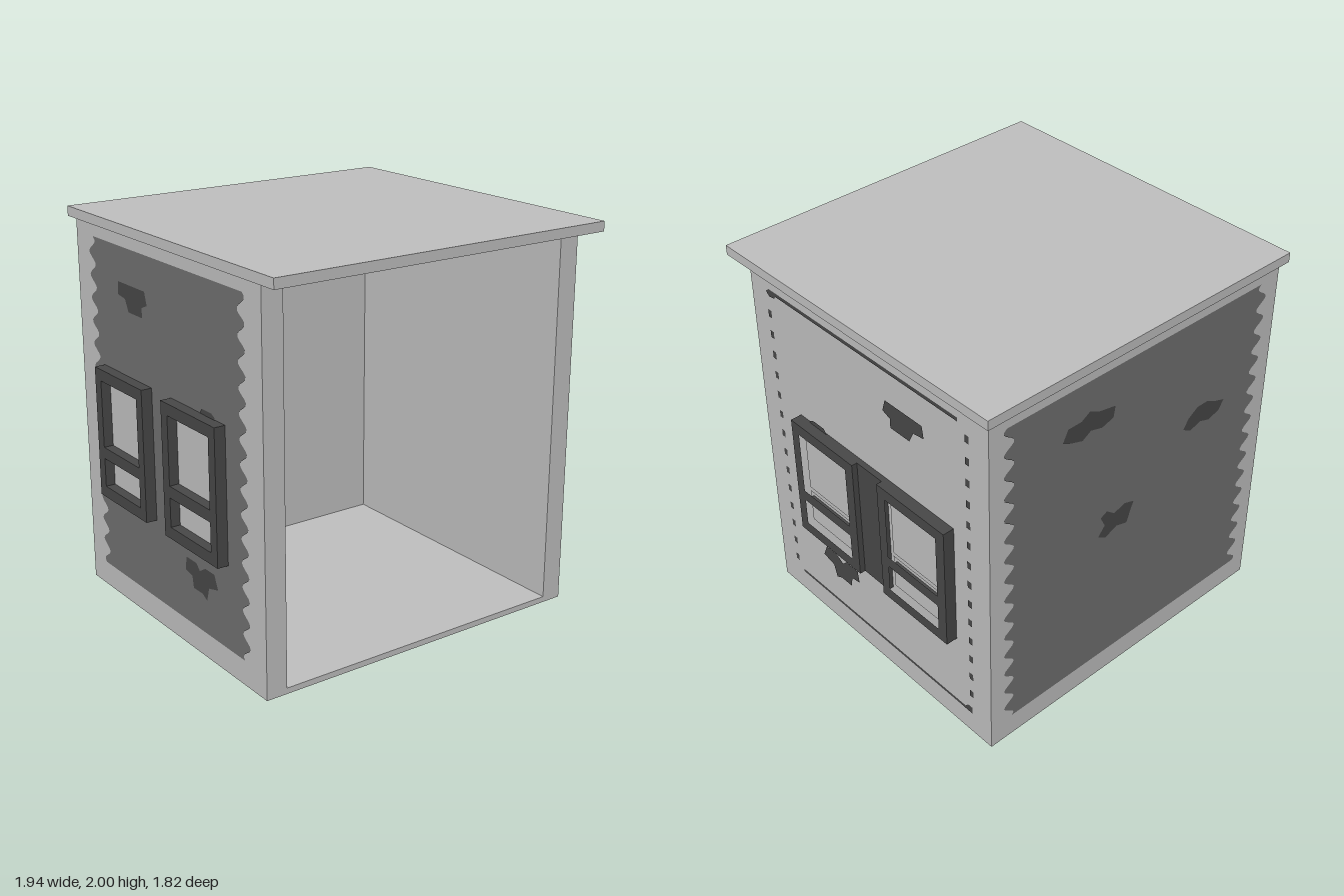
import * as THREE from 'three';

const mat = (name, color) => {
  const m = new THREE.MeshStandardMaterial({ color });
  m.name = name;
  return m;
};

export function createModel() {
  const wallGrey = mat('light wall grey', 0xc0c0c0);
  const panelGrey = mat('mid panel grey', 0x707070);
  const trimGrey = mat('dark trim grey', 0x484848);
  const model = new THREE.Group();
  model.name = 'boxHouse';

  // Box given by its minimum and maximum corners
  function box(parent, name, m, [x0, y0, z0], [x1, y1, z1]) {
    const g = new THREE.BoxGeometry(x1 - x0, y1 - y0, z1 - z0);
    g.translate((x0 + x1) / 2, (y0 + y1) / 2, (z0 + z1) / 2);
    const mesh = new THREE.Mesh(g, m);
    mesh.name = name;
    parent.add(mesh);
  }

  // Shell: open front, floor, three walls, overhanging roof
  box(model, 'floor', wallGrey, [-0.8, 0, -0.76], [0.8, 0.03, 0.77]);
  box(model, 'leftWall', wallGrey, [0.8, 0, -0.88], [0.91, 1.95, 0.77]);
  box(model, 'rightWall', wallGrey, [-0.91, 0, -0.88], [-0.8, 1.95, 0.77]);
  box(model, 'backWall', wallGrey, [-0.8, 0, -0.88], [0.8, 1.95, -0.76]);
  box(model, 'roof', wallGrey, [-0.94, 1.95, -0.91], [0.94, 2, 0.91]);
  for (const x of [-0.59, 0.41])
    box(model, 'ceilingBeam', wallGrey, [x, 1.915, -0.76], [x + 0.17, 1.95, 0.77]);

  // Flat plate from [u, y] points; s flips u into the local frame of the wall
  const toShape = (pts, s) => new THREE.Shape(pts.map(([u, y]) => new THREE.Vector2(u * s, y)));
  const rect = (u0, u1, y0, y1) => [[u0, y0], [u1, y0], [u1, y1], [u0, y1]];
  function plate(parent, name, m, pts, s, z) {
    const mesh = new THREE.Mesh(new THREE.ShapeGeometry(toShape(pts, s)), m);
    mesh.position.z = z;
    mesh.name = name;
    parent.add(mesh);
  }

  // Panel outline with wavy upright edges
  function wavyPanel(u0, u1, amp) {
    const pts = [], n = 118, y0 = 0.13, y1 = 1.88;
    const k = (Math.PI * 2) / 0.118;
    for (let i = 0; i <= n; i++) {
      const y = y0 + ((y1 - y0) * i) / n;
      pts.push([u1 + amp * Math.cos(k * (y - 1.74)), y]);
    }
    for (let i = n; i >= 0; i--) {
      const y = y0 + ((y1 - y0) * i) / n;
      pts.push([u0 - amp * Math.cos(k * (y - 1.8)), y]);
    }
    return pts;
  }

  // Worn patches on the side walls, as [z, y]
  const patches = [
    [[-0.21, 1.705], [-0.46, 1.705], [-0.47, 1.64], [-0.4, 1.63], [-0.37, 1.57],
      [-0.24, 1.57], [-0.24, 1.62], [-0.19, 1.64]],
    [[0.35, 0.47], [0.27, 0.47], [0.22, 0.44], [0.19, 0.47], [0.1, 0.47], [0.09, 0.4],
      [0.15, 0.39], [0.16, 0.33], [0.24, 0.33], [0.28, 0.31], [0.3, 0.38], [0.38, 0.4]],
    [[0.39, 1.2], [0.39, 1.25], [0.36, 1.265], [0.28, 1.265], [0.26, 1.24], [0.26, 1.2]],
  ];

  // Side walls: windows and patches, each built in a frame facing outwards
  for (const side of [1, -1]) {
    const wall = new THREE.Group();
    wall.name = side > 0 ? 'leftWallDetails' : 'rightWallDetails';
    wall.rotation.y = (side * Math.PI) / 2;
    const s = -side;
    model.add(wall);

    for (const [a, b] of [[0, 0.47], [-0.645, -0.18]]) {
      const shape = toShape(rect(a, b, 0.56, 1.24), s);
      for (const [y0, y1] of [[0.62, 0.77], [0.83, 1.18]]) {
        shape.holes.push(toShape(rect(a + 0.057, b - 0.055, y0, y1), s));
        plate(wall, 'windowPane', wallGrey, rect(a + 0.03, b - 0.03, y0 - 0.02, y1 + 0.02), s, 0.919);
      }
      const frame = new THREE.Mesh(
        new THREE.ExtrudeGeometry(shape, { depth: 0.06, bevelEnabled: false }), trimGrey);
      frame.position.z = 0.91;
      frame.name = 'windowFrame';
      wall.add(frame);
    }
    for (const p of patches) plate(wall, 'wornPatch', trimGrey, p, s, 0.916);

    if (side > 0) {
      // Mullion between the windows, and a thin broken border line
      box(wall, 'windowMullion', trimGrey, [0, 0.56, 0.91], [0.18, 1.24, 0.94]);
      plate(wall, 'borderLine', trimGrey,
        [[0.65, 1.86], [0.63, 1.84], [0.59, 1.845], [0.58, 1.86], [-0.69, 1.86],
          [-0.69, 1.88], [0.63, 1.88]], s, 0.913);
      plate(wall, 'borderLine', trimGrey,
        [[0.59, 0.13], [0.59, 0.147], [-0.7, 0.147], [-0.72, 0.17], [-0.75, 0.17],
          [-0.75, 0.13]], s, 0.913);
      for (let i = 0; i < 14; i++) {
        const y = 1.74 - i * 0.118;
        plate(wall, 'borderDash', trimGrey, rect(0.625, 0.65, y - 0.02, y + 0.02), s, 0.913);
        plate(wall, 'borderDash', trimGrey, rect(-0.76, -0.735, y + 0.04, y + 0.08), s, 0.913);
      }
    } else {
      plate(wall, 'wavyPanel', panelGrey, wavyPanel(-0.72, 0.615, 0.03), s, 0.913);
    }
  }

  // Back wall: wavy panel with three patches, as [x, y]
  const back = new THREE.Group();
  back.name = 'backWallDetails';
  back.rotation.y = Math.PI;
  model.add(back);
  plate(back, 'wavyPanel', panelGrey, wavyPanel(-0.8, 0.8, 0.03), -1, 0.883);
  const backPatches = [
    [[0.49, 1.63], [0.46, 1.69], [0.38, 1.69], [0.33, 1.72], [0.27, 1.69], [0.17, 1.67],
      [0.18, 1.61], [0.25, 1.59], [0.32, 1.61], [0.37, 1.58], [0.43, 1.6]],
    [[0.23, 1.05], [0.19, 1.07], [0.14, 1.03], [0.07, 1.05], [0.01, 1.03], [0.03, 0.98],
      [0.05, 0.92], [0.12, 0.94], [0.19, 0.91], [0.24, 0.94], [0.2, 0.99]],
    [[-0.31, 1.28], [-0.34, 1.33], [-0.4, 1.37], [-0.47, 1.37], [-0.53, 1.34], [-0.59, 1.32],
      [-0.56, 1.27], [-0.49, 1.25], [-0.43, 1.27], [-0.36, 1.25]],
  ];
  for (const p of backPatches) plate(back, 'wornPatch', trimGrey, p, -1, 0.886);

  return model;
}
